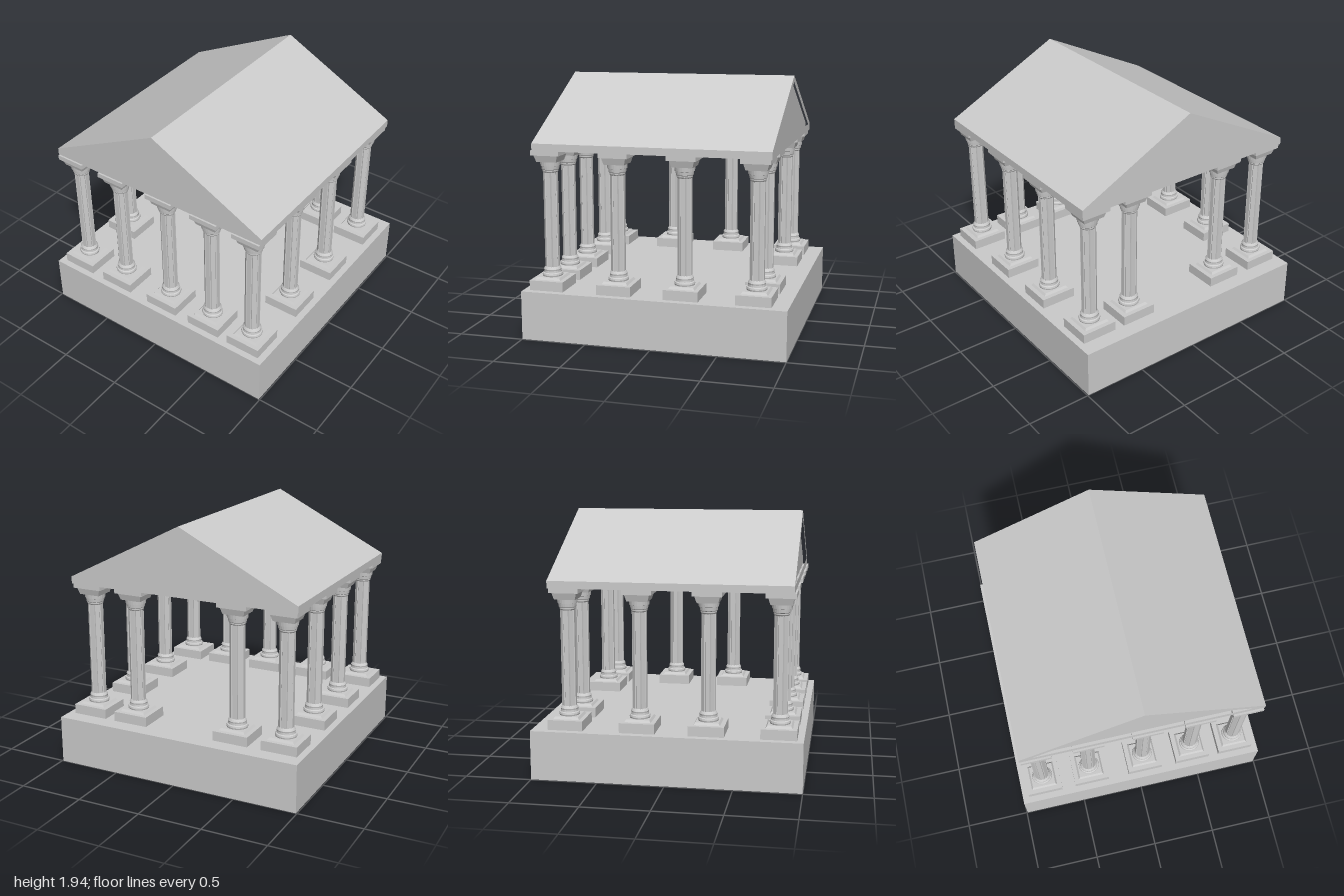
import * as THREE from 'three';

const stone = new THREE.MeshStandardMaterial({ color: 0xcccccc, flatShading: true });

function add(parent, name, geometry, y = 0) {
  const mesh = new THREE.Mesh(geometry, stone);
  mesh.name = name;
  mesh.position.y = y;
  parent.add(mesh);
  return mesh;
}

// Square block, optionally tapered, from half-widths at bottom and top
function squareBlock(parent, name, y0, y1, bottom, top = bottom) {
  const g = new THREE.CylinderGeometry(top * Math.SQRT2, bottom * Math.SQRT2, y1 - y0, 4);
  g.rotateY(Math.PI / 4);
  add(parent, name, g, (y0 + y1) / 2);
}

function turned(parent, name, profile) {
  const points = profile.map(([r, y]) => new THREE.Vector2(r, y));
  add(parent, name, new THREE.LatheGeometry(points, 24));
}

// Eight flat faces separated by narrow grooves
function flutedShaft(radius, height) {
  const points = [];
  for (let i = 0; i < 8; i++) {
    const a = (i * Math.PI) / 4;
    for (const [offset, r] of [[-0.29, 1.035], [0.29, 1.035], [Math.PI / 8, 0.93]]) {
      points.push(new THREE.Vector2(Math.cos(a + offset), Math.sin(a + offset)).multiplyScalar(radius * r));
    }
  }
  const g = new THREE.ExtrudeGeometry(new THREE.Shape(points), { depth: height, bevelEnabled: false });
  return g.rotateX(-Math.PI / 2);
}

function createColumn() {
  const column = new THREE.Group();
  column.name = 'column';
  squareBlock(column, 'plinth', 0.37, 0.445, 0.131);
  squareBlock(column, 'plinthStep', 0.445, 0.462, 0.098, 0.086);
  turned(column, 'baseMoulding', [
    [0, 0.46], [0.074, 0.46], [0.077, 0.472], [0.074, 0.485], [0.066, 0.49],
    [0.064, 0.505], [0.066, 0.515], [0.06, 0.525], [0.053, 0.535], [0, 0.535],
  ]);
  add(column, 'shaft', flutedShaft(0.053, 0.76), 0.52);
  turned(column, 'capitalMoulding', [
    [0, 1.25], [0.053, 1.25], [0.059, 1.26], [0.059, 1.27], [0.064, 1.275], [0.067, 1.3],
    [0.073, 1.302], [0.076, 1.335], [0, 1.335],
  ]);
  squareBlock(column, 'echinus', 1.333, 1.385, 0.077, 0.092);
  squareBlock(column, 'abacus', 1.385, 1.422, 0.109);
  column.scale.z = 1.07;
  return column;
}

// Gable slab along x; the shape is drawn in the z-y plane
function gable(outline, hole, x0, x1) {
  const toShape = (pts) => pts.map(([z, y]) => new THREE.Vector2(-z, y));
  const shape = new THREE.Shape(toShape(outline));
  if (hole) shape.holes.push(new THREE.Path(toShape(hole)));
  const g = new THREE.ExtrudeGeometry(shape, { depth: x1 - x0, bevelEnabled: false });
  return g.rotateY(Math.PI / 2).translate(x0, 0, 0);
}

export function createModel() {
  const temple = new THREE.Group();
  temple.name = 'temple';

  add(temple, 'platform', new THREE.BoxGeometry(2, 0.37, 1.985), 0.185);

  // Columns around the edge, leaving the middle of the +x end open
  const xs = [-0.82, -0.297, 0.212, 0.748];
  const zs = [-0.8, -0.41, 0.038, 0.438, 0.8];
  xs.forEach((x, i) => zs.forEach((z, j) => {
    const onEnd = i === 0 || i === 3;
    const onSide = j === 0 || j === 4;
    const entrance = i === 3 && j === 2;
    if ((!onEnd && !onSide) || entrance) return;
    const column = createColumn();
    column.position.set(x, 0, z);
    temple.add(column);
  }));

  // Solid roof with a framed, recessed pediment at each end
  const roof = new THREE.Group();
  roof.name = 'roof';
  const outline = [[-0.925, 1.42], [0.925, 1.42], [0.925, 1.475], [0, 1.94], [-0.925, 1.475]];
  const recess = [[-0.825, 1.475], [0.825, 1.475], [0, 1.89]];
  const x0 = -0.915, x1 = 0.867, depth = 0.035;
  add(roof, 'roofBody', gable(outline, null, x0 + depth, x1 - depth));
  add(roof, 'pedimentFrameRight', gable(outline, recess, x0, x0 + depth));
  add(roof, 'pedimentFrameLeft', gable(outline, recess, x1 - depth, x1));
  temple.add(roof);

  return temple;
}
